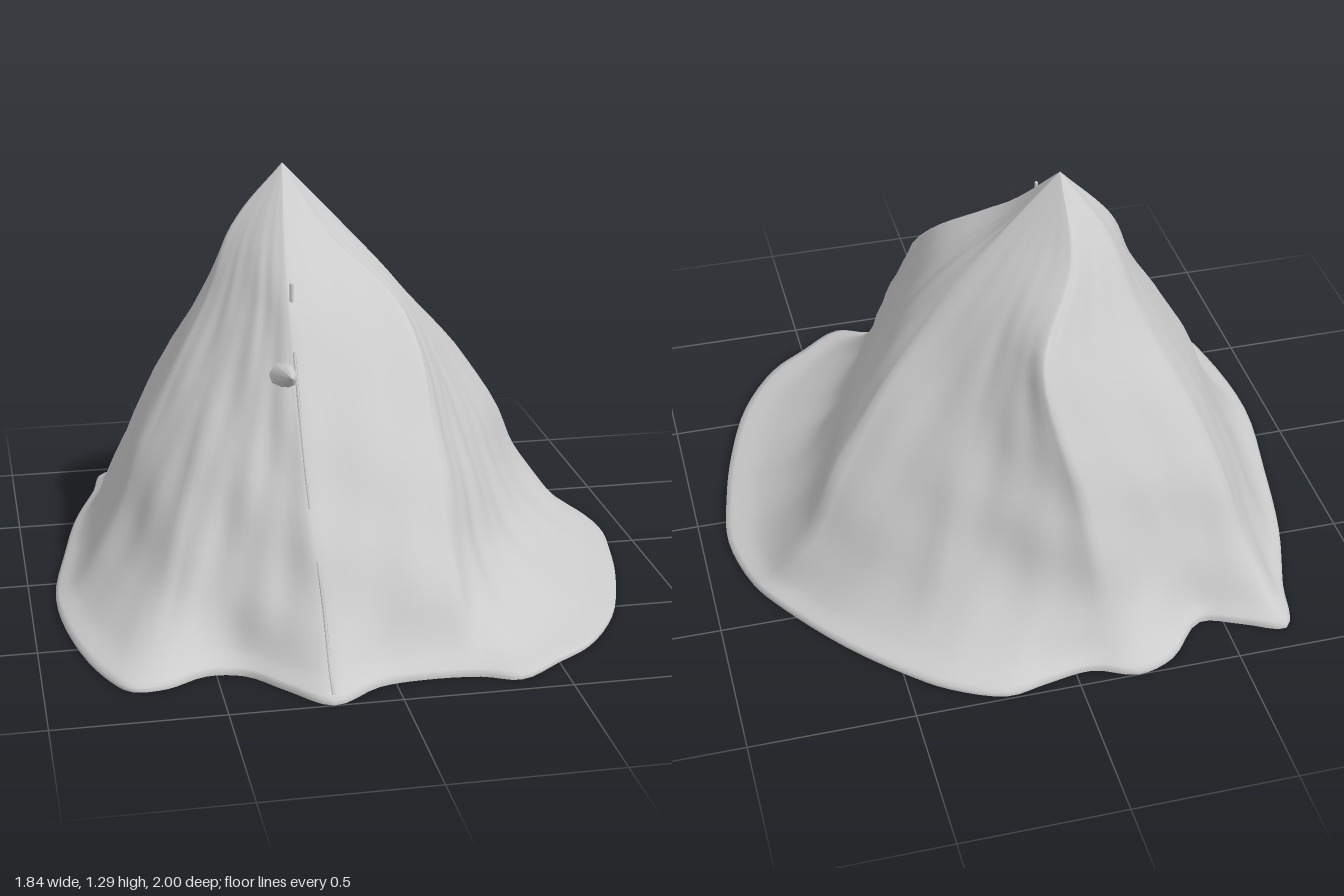
import * as THREE from 'three';

const SEG = 4;   // columns per hem point
const ROWS = 36; // rows from hem to peak
const APEX = new THREE.Vector3(-0.14, 1.29, -0.2);
const LEVELS = [1.1, 0.9, 0.5, 0.2];

// Wavy hem on the ground, [x, z], from the front tip round by +x
const HEM = [
  [-0.2, 1], [-0.05, 0.91], [0.08, 0.89], [0.25, 0.9], [0.36, 0.94], [0.5, 0.85], [0.62, 0.76],
  [0.75, 0.57], [0.84, 0.32], [0.89, 0.1], [0.915, -0.1], [0.87, -0.32], [0.8, -0.45], [0.65, -0.66],
  [0.5, -0.82], [0.38, -0.92], [0.22, -0.99], [0.1, -0.97], [-0.05, -0.95], [-0.18, -1], [-0.3, -0.96],
  [-0.43, -0.83], [-0.55, -0.87], [-0.68, -0.92], [-0.73, -0.75], [-0.81, -0.5], [-0.87, -0.2],
  [-0.92, 0.13], [-0.89, 0.45], [-0.82, 0.7], [-0.75, 0.81], [-0.65, 0.81], [-0.53, 0.75],
  [-0.42, 0.77], [-0.32, 0.88],
];

// Folds of the cloth: hem index, then [x, z] at each level from top to bottom
const FOLDS = [
  [0, [-0.17, 0.02], [-0.19, 0.26], [-0.2, 0.57], [-0.19, 0.78]],
  [3, [-0.03, -0.03], [0.17, 0.18], [0.21, 0.53], [0.22, 0.74]],
  [6, [0, -0.1], [0.2, 0.05], [0.34, 0.27], [0.42, 0.43]],
  [9, [0.03, -0.16], [0.22, -0.09], [0.46, -0.02], [0.6, 0.04]],
  [11, [0.04, -0.2], [0.22, -0.21], [0.55, -0.32], [0.71, -0.37]],
  [14, [-0.02, -0.29], [0.12, -0.42], [0.29, -0.58], [0.37, -0.69]],
  [18, [-0.12, -0.41], [0.02, -0.63], [-0.06, -0.78], [-0.1, -0.87]],
  [21, [-0.2, -0.35], [-0.18, -0.5], [-0.32, -0.67], [-0.4, -0.75]],
  [23, [-0.27, -0.3], [-0.33, -0.4], [-0.52, -0.6], [-0.6, -0.74]],
  [25, [-0.29, -0.23], [-0.38, -0.26], [-0.59, -0.31], [-0.71, -0.4]],
  [27, [-0.31, -0.17], [-0.4, -0.1], [-0.63, 0.06], [-0.76, 0.12]],
  [30, [-0.27, -0.1], [-0.34, 0.04], [-0.51, 0.34], [-0.62, 0.54]],
  [32, [-0.23, -0.04], [-0.28, 0.15], [-0.39, 0.45], [-0.46, 0.61]],
];

const COLS = HEM.length * SEG;
const closed = (pts, y) => new THREE.CatmullRomCurve3(
  pts.map(([x, z]) => new THREE.Vector3(x, y, z)), true);
const hemCurve = closed(HEM, 0.015);
const ringCurves = LEVELS.map((y, l) => closed(FOLDS.map((f) => f[l + 1]), y));

// Point of a level ring above hem position h; mixing in straight chords keeps the folds crisp
function ringPoint(level, h) {
  const n = FOLDS.length;
  let k = n - 1;
  while (FOLDS[k][0] > h) k--;
  const next = k + 1 < n ? FOLDS[k + 1][0] : HEM.length;
  const t = (h - FOLDS[k][0]) / (next - FOLDS[k][0]);
  const a = FOLDS[k][level + 1], b = FOLDS[(k + 1) % n][level + 1];
  const chord = new THREE.Vector3(
    THREE.MathUtils.lerp(a[0], b[0], t), LEVELS[level], THREE.MathUtils.lerp(a[1], b[1], t));
  return ringCurves[level].getPoint((k + t) / n).lerp(chord, 0.75);
}

// Line of cloth from the flared hem up to the peak
function columnCurve(h) {
  const hem = hemCurve.getPoint(h / HEM.length);
  const rings = LEVELS.map((y, l) => ringPoint(l, h)).reverse();
  const flare = rings[0].clone().lerp(hem, 0.6).setY(0.06);
  return new THREE.CatmullRomCurve3([hem, flare, ...rings, APEX]);
}

function canopyGeometry() {
  const pos = [], index = [], n = ROWS + 2;
  for (let c = 0; c < COLS; c++) {
    const pts = columnCurve(c / SEG).getPoints(ROWS);
    const a = (c / COLS) * Math.PI * 2;
    // Shallow wrinkles, fading out at hem and peak
    pts.forEach((p, r) => {
      const s = Math.sin((Math.PI * r) / ROWS);
      const w = 1 + 0.005 * s * (Math.sin(17 * a + 5 * p.y) + Math.sin(29 * a - 9 * p.y) + Math.sin(22 * p.y + 6 * a));
      p.x = APEX.x + (p.x - APEX.x) * w;
      p.z = APEX.z + (p.z - APEX.z) * w;
    });
    pts.unshift(pts[0].clone().setY(0)); // thin hem edge
    pts.forEach((p) => pos.push(p.x, p.y, p.z));

    const d = (c + 1) % COLS;
    for (let r = 0; r < n - 1; r++) {
      const i = c * n + r, j = d * n + r;
      index.push(i, j, i + 1);
      if (r < n - 2) index.push(j, j + 1, i + 1);
    }
  }
  const g = new THREE.BufferGeometry();
  g.setAttribute('position', new THREE.Float32BufferAttribute(pos, 3));
  g.setIndex(index);
  g.computeVertexNormals();
  return g;
}

export function createModel() {
  const group = new THREE.Group();
  const mat = new THREE.MeshStandardMaterial({ color: 0xcccccc, side: THREE.DoubleSide });
  const add = (name, geometry) => {
    const mesh = new THREE.Mesh(geometry, mat);
    mesh.name = name;
    group.add(mesh);
    return mesh;
  };

  add('canopy', canopyGeometry());

  // Ground sheet
  const outline = hemCurve.getPoints(COLS).slice(0, -1).map((p) => new THREE.Vector2(p.x, p.z));
  add('groundSheet', new THREE.ShapeGeometry(new THREE.Shape(outline)).rotateX(Math.PI / 2));

  // Closed seam below the tie
  const seam = columnCurve(0).getPoints(30).slice(1, 20);
  add('frontSeam', new THREE.TubeGeometry(new THREE.CatmullRomCurve3(seam), 60, 0.005, 5));

  // Toggle and gathered tie on the front seam
  const toggle = add('toggle', new THREE.CapsuleGeometry(0.006, 0.06, 3, 8));
  toggle.position.set(-0.18, 0.975, 0.2);
  const tie = add('tie', new THREE.ConeGeometry(0.05, 0.13, 10));
  tie.rotation.x = 1.3;
  tie.position.set(-0.22, 0.77, 0.38);

  return group;
}
